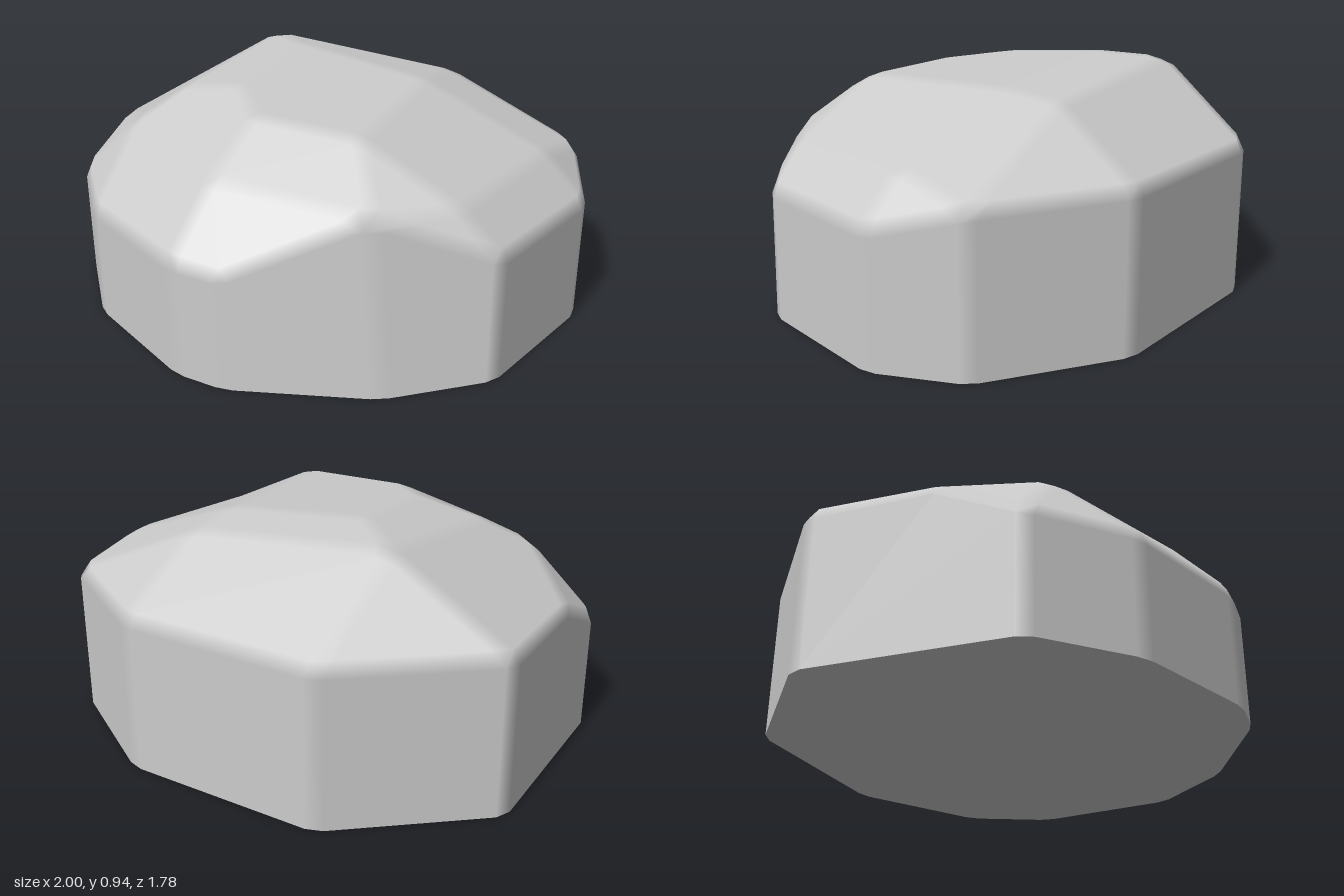
import * as THREE from 'three';

const BEVEL = 0.035;

// Upper rim corners, counter-clockwise seen from above
const RIM = [
  [-0.17, 0.47, 0.89], [0.04, 0.47, 0.89], [0.49, 0.675, 0.6], [0.89, 0.515, 0.365],
  [1.01, 0.515, -0.24], [0.86, 0.605, -0.575], [0.34, 0.615, -0.892], [-0.47, 0.615, -0.892],
  [-1, 0.615, -0.46], [-1, 0.615, 0.04], [-1, 0.47, 0.36], [-0.7, 0.47, 0.67],
];

// Corners of the facets on the crown
const CROWN = {
  A: [-0.53, 0.915, -0.48], B: [-0.33, 0.95, -0.3], C: [0.29, 0.88, -0.28],
  E: [0.29, 0.86, -0.53], H: [0.83, 0.685, -0.24], I: [0.73, 0.675, 0.38],
  J: [-0.58, 0.855, 0.19], K: [-0.3, 0.9, 0.19], L: [-0.12, 0.87, 0.385],
  M: [0.33, 0.87, 0.385], N: [-0.71, 0.735, 0.36], P: [-0.13, 0.715, 0.67],
};

// Crown facets, counter-clockwise seen from outside
const FACETS = [
  'N r10 r11', 'N r11 r0 P', 'P r0 r1 r2', 'P r2 M L', 'J N P L K', 'N r9 r10',
  'A r8 r9 N J', 'A J K B', 'B K L M C', 'A B C E', 'A E r6 r7', 'C H r5 E',
  'E r5 r6', 'A r7 r8', 'C M I H', 'M r2 I', 'I r2 r3', 'I r3 r4 H', 'H r4 r5',
];

// Newell normal of a polygon
function polygonNormal(pts) {
  const n = new THREE.Vector3();
  pts.forEach((p, i) => n.add(new THREE.Vector3().crossVectors(p, pts[(i + 1) % pts.length])));
  return n.normalize();
}

// Insets every face, then joins the insets with edge strips and corner patches
function bevelledGeometry(points, faces, bevel) {
  const positions = [], normals = [];
  const emit = (corners) => {
    for (let i = 1; i < corners.length - 1; i++) {
      for (const c of [corners[0], corners[i], corners[i + 1]]) {
        positions.push(...c.p.toArray());
        normals.push(...c.n.toArray());
      }
    }
  };
  const width = (a, b) => (points[a].y === 0 && points[b].y === 0 ? 0 : bevel);
  const edges = new Map(); // "from>to" -> { from, to } inset corners
  const around = {};       // vertex -> next vertex -> { corner, prev }

  for (const face of faces) {
    const n = polygonNormal(face.map((k) => points[k]));
    const count = face.length;
    const inset = face.map((v, i) => {
      const prev = face[(i + count - 1) % count], next = face[(i + 1) % count];
      const a = points[prev].clone().sub(points[v]).normalize();
      const b = points[next].clone().sub(points[v]).normalize();
      const s = Math.max(0.35, a.clone().cross(b).length());
      const p = points[v].clone()
        .addScaledVector(a, width(v, next) / s)
        .addScaledVector(b, width(prev, v) / s);
      const corner = { p, n };
      (around[v] ??= {})[next] = { corner, prev };
      return corner;
    });
    emit(inset);
    face.forEach((v, i) => {
      const j = (i + 1) % count;
      edges.set(`${v}>${face[j]}`, { from: inset[i], to: inset[j], v, w: face[j] });
    });
  }

  // Edge strips
  for (const e of edges.values()) {
    const other = edges.get(`${e.w}>${e.v}`);
    if (other && e.v < e.w) emit([e.to, e.from, other.to, other.from]);
  }

  // Corner patches
  for (const ring of Object.values(around)) {
    const start = Object.keys(ring)[0];
    const patch = [];
    let key = start;
    do {
      if (!ring[key]) break;
      patch.push(ring[key].corner);
      key = ring[key].prev;
    } while (key !== start);
    if (key === start && patch.length > 2) emit(patch);
  }

  // Flat underside, closing the sharp lower edges
  const down = new THREE.Vector3(0, -1, 0);
  const base = [];
  for (const e of edges.values()) {
    if (width(e.v, e.w) === 0) base.push({ p: e.from.p, n: down }, { p: e.to.p, n: down });
  }
  emit(base.reverse());

  const geometry = new THREE.BufferGeometry();
  geometry.setAttribute('position', new THREE.Float32BufferAttribute(positions, 3));
  geometry.setAttribute('normal', new THREE.Float32BufferAttribute(normals, 3));
  return geometry;
}

export function createModel() {
  const points = {};
  for (const [k, p] of Object.entries(CROWN)) points[k] = new THREE.Vector3(...p);
  RIM.forEach((p, i) => {
    points[`r${i}`] = new THREE.Vector3(...p);
    points[`b${i}`] = new THREE.Vector3(p[0], 0, p[2]);
  });
  points.b2.set(0.57, 0, 0.67); // this wall leans inwards

  // Side walls; the rim corner r9 has no vertical edge below it
  const walls = [];
  for (let i = 0; i < RIM.length; i++) {
    if (i === 9) continue;
    if (i === 8) walls.push(['b8', 'b10', 'r10', 'r9', 'r8']);
    else {
      const j = (i + 1) % RIM.length;
      walls.push([`b${i}`, `b${j}`, `r${j}`, `r${i}`]);
    }
  }

  const faces = [...walls, ...FACETS.map((f) => f.split(' '))];
  const rock = new THREE.Mesh(
    bevelledGeometry(points, faces, BEVEL),
    new THREE.MeshStandardMaterial({ color: 0xcccccc }),
  );
  rock.name = 'rock';

  const group = new THREE.Group();
  group.name = 'boulder';
  group.add(rock);
  return group;
}
